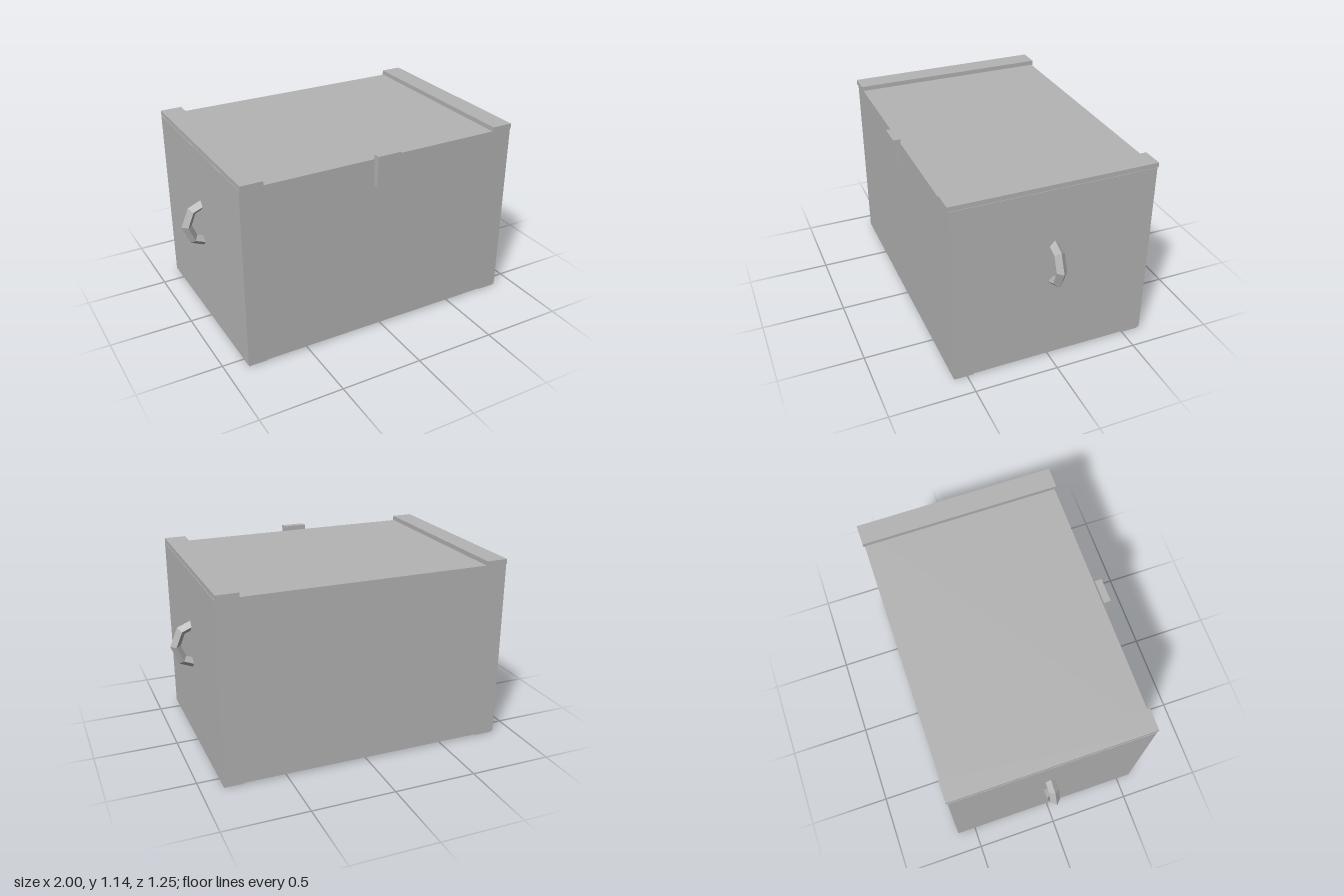
import * as THREE from 'three';

export function createModel() {
  const root = new THREE.Group();
  root.name = 'chest';
  const grey = new THREE.MeshStandardMaterial({ color: 0xb4b4b4, flatShading: true });
  grey.name = 'plain grey';

  // Box given by its minimum and maximum corners
  function box(name, [x0, y0, z0], [x1, y1, z1]) {
    const mesh = new THREE.Mesh(new THREE.BoxGeometry(x1 - x0, y1 - y0, z1 - z0), grey);
    mesh.position.set((x0 + x1) / 2, (y0 + y1) / 2, (z0 + z1) / 2);
    mesh.name = name;
    root.add(mesh);
  }

  // Main body and front latch
  box('body', [-0.873, 0.012, -0.614], [0.873, 1.11, 0.583]);
  box('latch', [-0.073, 0.953, 0.583], [0.073, 1.139, 0.625]);

  for (const side of [-1, 1]) {
    const label = side > 0 ? 'left' : 'right';
    const span = (a, b) => (side > 0 ? [a, b] : [-b, -a]);

    // Lid batten, slightly overhanging front and back
    const [b0, b1] = span(0.74, 0.87);
    box(label + 'Batten', [b0, 1.108, -0.623], [b1, 1.138, 0.592]);

    // Low feet under the corners
    const [f0, f1] = span(0.755, 0.868);
    box(label + 'FrontFoot', [f0, 0, 0.463], [f1, 0.014, 0.575]);
    box(label + 'BackFoot', [f0, 0, -0.604], [f1, 0.014, -0.491]);

    // Faceted half-ring handle with a diamond section
    const ring = new THREE.TorusGeometry(0.13, 0.031, 4, 4, Math.PI);
    ring.rotateZ(-side * Math.PI / 2);
    const handle = new THREE.Mesh(ring, grey);
    handle.position.set(side * 0.839, 0.645, -0.014);
    if (side < 0) handle.position.x = -0.839;
    handle.name = label + 'Handle';
    root.add(handle);
  }

  return root;
}
